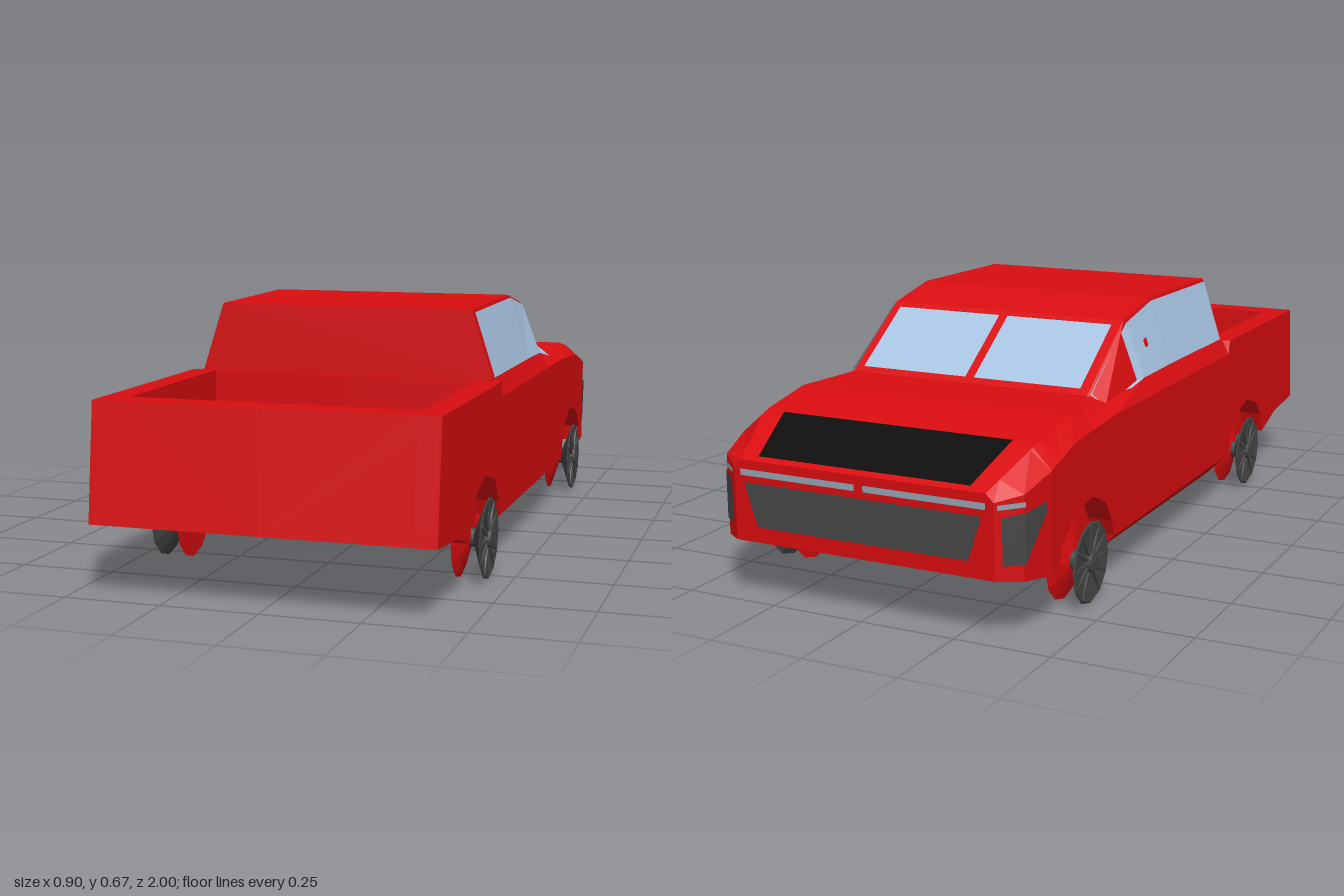
import * as THREE from 'three';
import { mergeVertices } from 'three/addons/utils/BufferGeometryUtils.js';

const mat = (name, color) => {
  const m = new THREE.MeshStandardMaterial({ color, side: THREE.DoubleSide });
  m.name = name;
  return m;
};

// piecewise linear lookup in [z, value] pairs, z descending
function lookup(table, z) {
  if (z >= table[0][0]) return table[0][1];
  for (let i = 1; i < table.length; i++) {
    const [z0, v0] = table[i - 1], [z1, v1] = table[i];
    if (z >= z1) return z0 === z1 ? v1 : v0 + (v1 - v0) * (z0 - z) / (z0 - z1);
  }
  return table[table.length - 1][1];
}

function flat(positions) {
  const g = new THREE.BufferGeometry();
  g.setAttribute('position', new THREE.Float32BufferAttribute(positions, 3));
  g.computeVertexNormals();
  return g;
}

// faceted skin over closed rings running from rear (+z) to nose (-z)
function loft(rings) {
  const out = [], n = rings[0].length;
  const tri = (a, b, c) => out.push(...a, ...b, ...c);
  for (let i = 0; i + 1 < rings.length; i++)
    for (let j = 0; j < n; j++) {
      const k = (j + 1) % n, a = rings[i][j], b = rings[i][k], c = rings[i + 1][k], d = rings[i + 1][j];
      tri(a, d, c);
      tri(a, c, b);
    }
  const first = rings[0], last = rings[rings.length - 1];
  for (let j = 1; j + 1 < n; j++) {
    tri(first[0], first[j], first[j + 1]);
    tri(last[0], last[j + 1], last[j]);
  }
  return flat(out);
}

// strip between two point rows
function strip(low, high) {
  const out = [];
  for (let i = 0; i + 1 < low.length; i++)
    out.push(...low[i], ...low[i + 1], ...high[i + 1], ...low[i], ...high[i + 1], ...high[i]);
  return flat(out);
}

const mirrorRing = half => [...half, ...half.slice().reverse().map(([x, y, z]) => [-x, y, z])];

// body outlines along z
const core = [[1, .185], [.83, .17], [.7, .13], [.42, .065], [-.52, .065], [-.81, .13], [-.995, .155]];
const lower = [[1, .185], [.83, .17], [.7, .13], [.68, .19], [.63, .24], [.54, .265], [.44, .24], [.39, .17],
  [.375, .13], [-.48, .125], [-.5, .17], [-.54, .23], [-.62, .265], [-.73, .245], [-.8, .18], [-.81, .13], [-.995, .155]];
const crease = [[.37, .47], [.36, .44], [-.47, .44], [-.72, .425], [-.84, .39], [-.995, .34]];
const top = [[-.25, .48], [-.47, .475], [-.65, .47], [-.83, .44], [-.995, .36]];
const outerX = [[-.85, .43], [-.95, .41], [-.995, .355]];
const topX = [[.37, .43], [.36, .41], [-.25, .405], [-.47, .35], [-.65, .385], [-.83, .38], [-.995, .335]];
const tailZ = y => 1 - .035 * (y - .185) / .295;

function bodyRing(z, bed = false) {
  const xo = lookup(outerX, z), xt = lookup(topX, z), xi = Math.min(.365, xo);
  const c = lookup(core, z), l = lookup(lower, z), t = lookup(top, z);
  const well = z < .375 && z > -.48 ? c : l, floor = bed ? .27 : t, rim = Math.min(.365, xt);
  const half = [[0, c], [xi, c], [xi, well], [xo, l], [xo, lookup(crease, z)], [xt, t], [rim, t], [rim, floor], [0, floor]];
  return mirrorRing(half.map(([x, y]) => [x, y, z === 1 ? tailZ(y) : z]));
}

// cab side: [z, base x, base y, roof x, roof y]
const cab = [[.36, .405, .475, .345, .662], [-.07, .405, .475, .345, .667], [-.24, .405, .475, .345, .632], [-.47, .395, .445, .345, .476]];
const cabSide = (z, t) => {
  const v = i => lookup(cab.map(s => [s[0], s[i]]), z);
  return [v(1) + (v(3) - v(1)) * t, v(2) + (v(4) - v(2)) * t, z];
};

export function createModel() {
  const truck = new THREE.Group();
  truck.name = 'pickupTruck';
  const red = mat('red paint', 0xd90d10), glass = mat('window glass', 0xa8c4e2), grey = mat('dark grey', 0x464646);
  const black = mat('black', 0x0d0d0d), lamp = mat('lamp', 0x93a3b3);
  const add = (name, geometry, material, parent = truck) => {
    const m = new THREE.Mesh(geometry, material);
    m.name = name;
    parent.add(m);
    return m;
  };

  // body with load bed and wheel arches
  const zs = [1, .965, .89, .89, .83, .7, .68, .63, .54, .44, .39, .375, .37, .37, .36, 0, -.25, -.47, -.48, -.5, -.54,
    -.62, -.65, -.73, -.8, -.81, -.84, -.85, -.95, -.995];
  add('body', loft(zs.map((z, i) => bodyRing(z, i >= 3 && i <= 12))), red);

  // cab
  add('cab', loft(cab.map(([z, bx, by, tx, ty]) => mirrorRing([[bx, by, z], [tx, ty, z === .36 ? .355 : z]]))), red);

  // windscreen panes
  const screen = (x, z) => [x, .636 - .678 * (-.24 - z), z];
  for (const [a, b] of [[-.32, -.015], [.01, .32]])
    add('windscreenPane', strip([screen(a, -.455), screen(b, -.455)], [screen(a, -.26), screen(b, -.26)]), glass);

  // nose panels
  const hood = (x, z) => [x, lookup(top, z) + .004, z];
  add('hoodPanel', strip([hood(-.29, -.983), hood(.29, -.983)], [hood(-.32, -.83), hood(.32, -.83)]), black);
  const nose = (x, y) => [x, y, -.998];
  add('grille', strip([nose(-.29, .195), nose(.29, .195)], [nose(-.325, .305), nose(.325, .305)]), grey);

  for (const s of [1, -1]) {
    const flip = p => [s * p[0], p[1], p[2]];

    // side glass
    const stations = [.347, -.07, -.24, -.462];
    const pane = t => stations.map(z => cabSide(z, t)).map(([x, y, z]) => flip([x + .005, y, z]));
    add('sideWindow', strip(pane(.06), pane(.96)), glass);

    // headlamps and corner vents wrapped around the nose
    add('lightBar', strip([nose(s * .012, .322), nose(s * .335, .322)], [nose(s * .012, .338), nose(s * .335, .338)]), lamp);
    const corner = (z, y) => flip([lookup(outerX, z) + .004, y, z]);
    add('cornerVent', strip([corner(-.985, .19), corner(-.95, .19), corner(-.87, .3)],
      [corner(-.985, .305), corner(-.95, .312), corner(-.87, .322)]), grey);
    add('cornerLamp', strip([corner(-.992, .322), corner(-.95, .326)], [corner(-.992, .334), corner(-.95, .338)]), lamp);

    // tail lamps
    const tail = (x, y) => [s * x, y, tailZ(y) + .004];
    add('tailLamp', strip([tail(.375, .222), tail(.425, .222)], [tail(.375, .47), tail(.425, .47)]), red);

    // wheels
    for (const z of [.535, -.645]) {
      const wheel = new THREE.Group();
      wheel.name = 'wheel';
      wheel.position.set(0, .106, z);
      wheel.rotation.z = -s * Math.PI / 2;
      truck.add(wheel);
      const turn = pts => {
        const g = mergeVertices(new THREE.LatheGeometry(pts.map(p => new THREE.Vector2(...p)), 12)).toNonIndexed();
        g.computeVertexNormals();
        return g;
      };
      add('wheelDish', turn([[.025, .405], [.105, .437], [.1, .44], [.03, .432], [0, .432]]), grey, wheel);
      add('hub', turn([[0, .37], [.025, .37], [.025, .448], [0, .45]]), grey, wheel);
      add('wheelBacking', turn([[0, .366], [.105, .366], [.025, .392]]), red, wheel);
      for (let i = 0; i < 12; i++) {
        const a = i * Math.PI / 6;
        const spoke = add('spoke', new THREE.BoxGeometry(.07, .006, .008), grey, wheel);
        spoke.position.set(Math.cos(a) * .06, .438, Math.sin(a) * .06);
        spoke.rotation.y = -a;
      }
    }
  }
  return truck;
}
